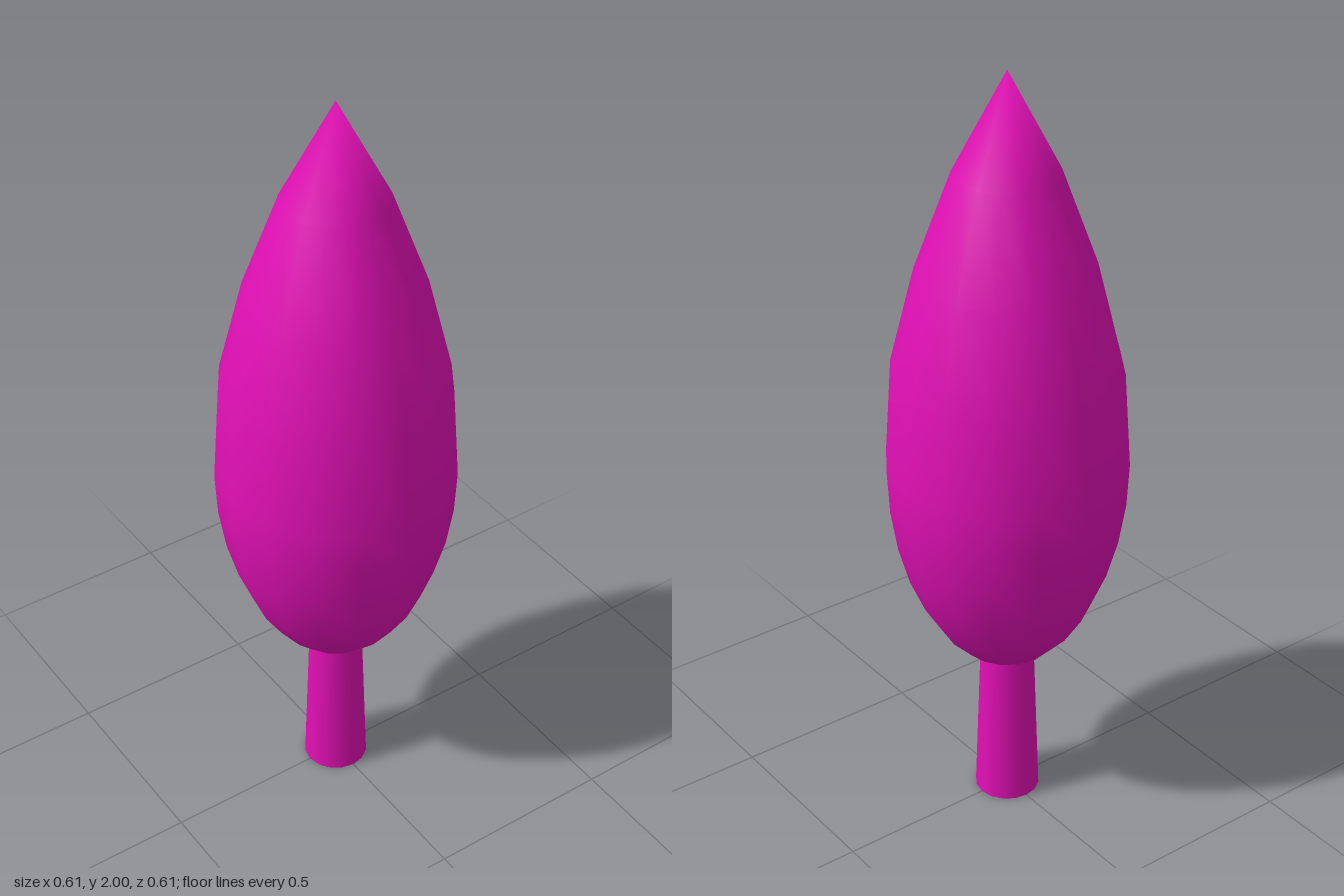
import * as THREE from 'three';

const SIDES = 16;

export function createModel() {
  const model = new THREE.Group();
  const material = new THREE.MeshStandardMaterial({ color: 0xe010b4 });

  // Tapered trunk, reaching a little into the foliage
  const trunk = new THREE.Mesh(new THREE.CylinderGeometry(0.069, 0.085, 0.46, SIDES), material);
  trunk.name = 'trunk';
  trunk.position.y = 0.23;
  model.add(trunk);

  // Foliage profile: a quarter ellipse below, tapering to a point above
  const radius = 0.305, middle = 1.0, depth = 0.59, steps = 8;
  const profile = [];
  for (let i = 0; i <= steps; i++) {
    const a = (i / steps) * Math.PI / 2;
    profile.push(new THREE.Vector2(radius * Math.sin(a), middle - depth * Math.cos(a)));
  }
  profile[0].x = 0;
  for (const [r, y] of [[0.288, 1.25], [0.225, 1.5], [0.132, 1.75], [0, 2]]) {
    profile.push(new THREE.Vector2(r, y));
  }
  const foliageGeometry = new THREE.LatheGeometry(profile, SIDES);

  // Soften the tip by pointing its normals straight up
  const normals = foliageGeometry.attributes.normal;
  for (let i = profile.length - 1; i < normals.count; i += profile.length) {
    normals.setXYZ(i, 0, 1, 0);
  }
  const foliage = new THREE.Mesh(foliageGeometry, material);
  foliage.name = 'foliage';
  model.add(foliage);

  return model;
}
